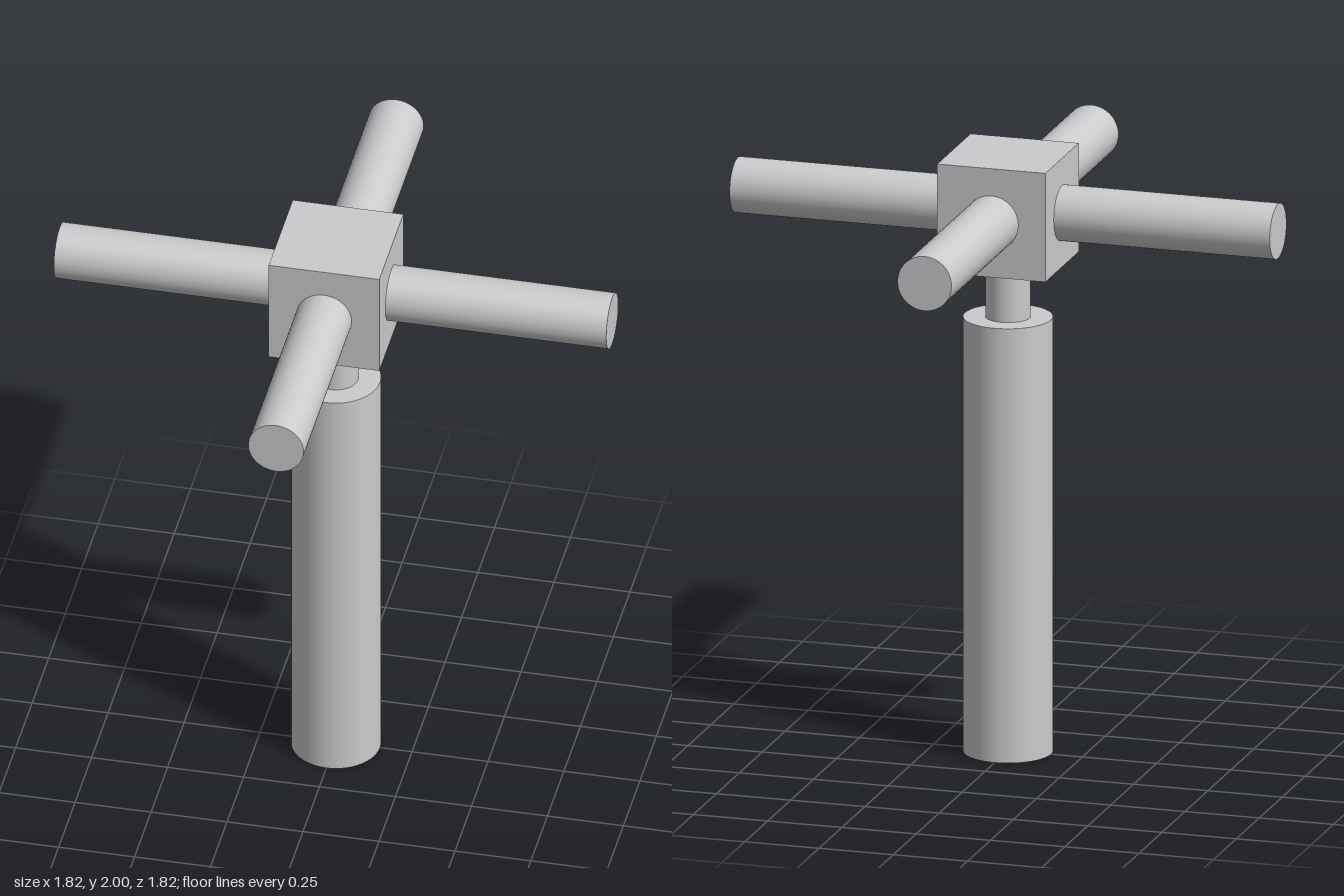
import * as THREE from 'three';

export function createModel() {
  const group = new THREE.Group();
  const material = new THREE.MeshStandardMaterial({ color: 0xcccccc });
  const hubSize = 0.364, hubY = 1.818, armEnd = 0.909, handleTop = 1.455;
  const hubBottom = hubY - hubSize / 2;

  function add(name, geometry, y) {
    const mesh = new THREE.Mesh(geometry, material);
    mesh.name = name;
    mesh.position.y = y;
    group.add(mesh);
    return mesh;
  }
  const rod = (radius, length) => new THREE.CylinderGeometry(radius, radius, length, 64);

  // Upright handle and the thinner neck above it
  add('handle', rod(0.145, handleTop), handleTop / 2);
  add('neck', rod(0.073, hubBottom - handleTop), (hubBottom + handleTop) / 2);

  // Cubic hub
  add('hub', new THREE.BoxGeometry(hubSize, hubSize, hubSize), hubY);

  // Four arms, one from each side of the hub
  const armLength = armEnd - hubSize / 2;
  const armGeometry = rod(0.091, armLength)
    .rotateX(Math.PI / 2)
    .translate(0, 0, hubSize / 2 + armLength / 2);
  ['frontArm', 'leftArm', 'backArm', 'rightArm'].forEach((name, i) => {
    add(name, armGeometry, hubY).rotation.y = i * Math.PI / 2;
  });

  return group;
}
